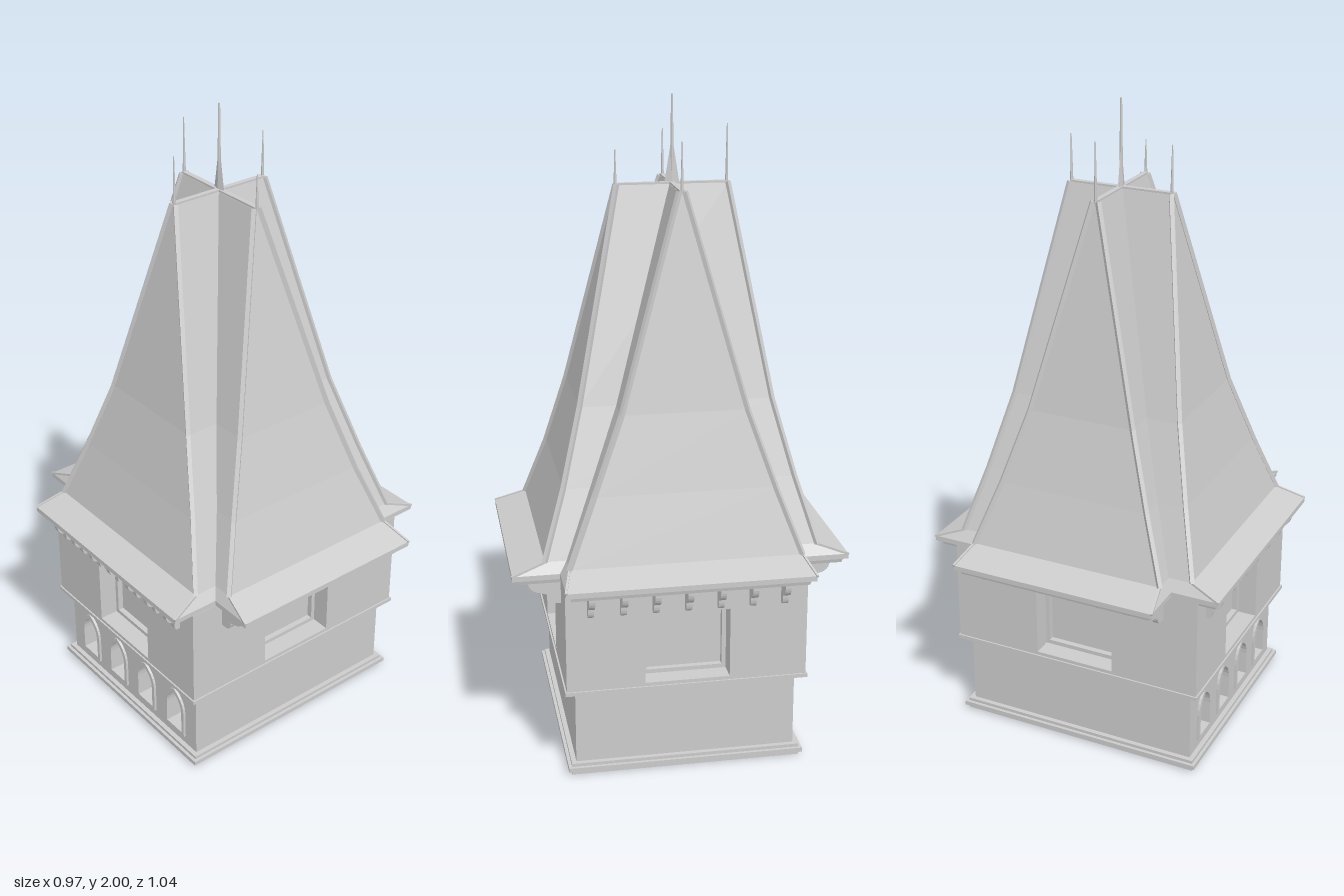
import * as THREE from 'three';

const mat = new THREE.MeshStandardMaterial({ color: 0xcccccc, flatShading: true });

function add(parent, geo, name, x = 0, y = 0, z = 0) {
  const m = new THREE.Mesh(geo, mat);
  m.name = name;
  m.position.set(x, y, z);
  parent.add(m);
  return m;
}

// rectangular path, as an outline or a hole
function rect(P, x0, y0, x1, y1) {
  const p = new P();
  p.moveTo(x0, y0); p.lineTo(x1, y0); p.lineTo(x1, y1); p.lineTo(x0, y1); p.closePath();
  return p;
}

// pointed arch path
function arch(P, cx, y0, w, h) {
  const p = new P(), r = w / 2, spring = y0 + h * 0.55;
  p.moveTo(cx - r, y0); p.lineTo(cx + r, y0); p.lineTo(cx + r, spring);
  p.quadraticCurveTo(cx + r, y0 + h * 0.85, cx, y0 + h);
  p.quadraticCurveTo(cx - r, y0 + h * 0.85, cx - r, spring);
  p.closePath();
  return p;
}

function plate(shape, depth, holes = []) {
  shape.holes.push(...holes);
  return new THREE.ExtrudeGeometry(shape, { depth, bevelEnabled: false, curveSegments: 5 });
}

// horizontal rectangular ring
function ring(hx, hz, ix, iz, h) {
  const g = plate(rect(THREE.Shape, -hx, -hz, hx, hz), h, [rect(THREE.Path, -ix, -iz, ix, iz)]);
  return g.rotateX(-Math.PI / 2);
}

const corners = ([y, x0, x1, z0, z1]) => [[x0, y, z1], [x1, y, z1], [x1, y, z0], [x0, y, z0]];

// solid through rectangular levels [y, x0, x1, z0, z1]
function loft(levels) {
  const pos = [], quad = (a, b, c, d) => pos.push(...a, ...b, ...c, ...a, ...c, ...d);
  const L = levels.map(corners);
  for (let k = 0; k < L.length - 1; k++)
    for (let i = 0; i < 4; i++) {
      const j = (i + 1) % 4;
      quad(L[k][i], L[k][j], L[k + 1][j], L[k + 1][i]);
    }
  quad(...L[L.length - 1]);
  quad(...[...L[0]].reverse());
  const g = new THREE.BufferGeometry();
  g.setAttribute('position', new THREE.Float32BufferAttribute(pos, 3));
  g.computeVertexNormals();
  return g;
}

// square bar between two points
function bar(parent, a, b, w, name) {
  const A = new THREE.Vector3(...a), B = new THREE.Vector3(...b);
  const m = add(parent, new THREE.BoxGeometry(w, w, A.distanceTo(B) + w * 0.3), name);
  m.position.copy(A).add(B).multiplyScalar(0.5);
  m.lookAt(B);
}

// bracket with stepped, rounded underside, projecting along +z
function bracketGeometry(out) {
  const s = new THREE.Shape();
  s.moveTo(0, 0.61); s.lineTo(0, 0.53); s.lineTo(out * 0.25, 0.53);
  s.quadraticCurveTo(out * 0.45, 0.535, out * 0.45, 0.56);
  s.lineTo(out * 0.6, 0.565);
  s.quadraticCurveTo(out * 0.95, 0.57, out, 0.595);
  s.lineTo(out, 0.61); s.closePath();
  const g = plate(s, 0.018);
  return g.translate(0, 0, -0.009).rotateY(-Math.PI / 2);
}

export function createModel() {
  const model = new THREE.Group();
  model.name = 'towerTop';

  // base moulding and string course
  add(model, ring(0.4, 0.355, 0.33, 0.285, 0.012), 'baseMouldingLower');
  add(model, ring(0.41, 0.365, 0.33, 0.285, 0.014), 'baseMouldingMiddle', 0, 0.012);
  add(model, ring(0.4, 0.355, 0.33, 0.285, 0.01), 'baseMouldingUpper', 0, 0.026);
  add(model, ring(0.418, 0.373, 0.34, 0.295, 0.012), 'stringCourse', 0, 0.274);

  // four faces: 0 front, 1 left, 2 back, 3 right
  for (let i = 0; i < 4; i++) {
    const side = i % 2 === 1;
    const face = new THREE.Group();
    face.name = ['frontFace', 'leftFace', 'backFace', 'rightFace'][i];
    face.rotation.y = i * Math.PI / 2;
    model.add(face);

    // lower wall, with an arcade on one face
    const lw = side ? 0.34 : 0.385, ld = side ? 0.385 : 0.34;
    const arches = i === 3 ? [-0.235, -0.078, 0.078, 0.235] : [];
    const lower = plate(rect(THREE.Shape, -lw, 0.03, lw, 0.28), 0.05,
      arches.map(x => arch(THREE.Path, x, 0.075, 0.08, 0.145)));
    add(face, lower, 'lowerWall', 0, 0, ld - 0.05);
    for (const x of arches) {
      const frame = plate(arch(THREE.Shape, x, 0.065, 0.1, 0.168), 0.066,
        [arch(THREE.Path, x, 0.077, 0.076, 0.14)]);
      add(face, frame, 'archFrame', 0, 0, ld - 0.058);
    }

    // upper wall with a deep window
    const uw = side ? 0.368 : 0.413, ud = side ? 0.413 : 0.368;
    const win = [-0.13, 0.297, 0.13, 0.52];
    add(face, plate(rect(THREE.Shape, -uw, 0.28, uw, 0.615), 0.02, [rect(THREE.Path, ...win)]),
      'upperWall', 0, 0, ud - 0.02);
    add(face, plate(rect(THREE.Shape, -0.14, 0.287, 0.14, 0.53), 0.075, [rect(THREE.Path, ...win)]),
      'windowReveal', 0, 0, ud - 0.08);
    add(face, plate(rect(THREE.Shape, ...win), 0.02, [rect(THREE.Path, -0.117, 0.31, 0.117, 0.507)]),
      'windowFrame', 0, 0, ud - 0.08);
    add(face, new THREE.BoxGeometry(0.27, 0.23, 0.008), 'windowPane', 0, 0.408, ud - 0.082);

    // row of brackets under the eave
    const geo = bracketGeometry(side ? 0.055 : 0.1);
    geo.rotateY(Math.PI); // overhang direction is set below
    geo.computeBoundingBox();
    if (geo.boundingBox.max.z < 0.02) geo.rotateY(Math.PI);
    for (let k = -3; k <= 3; k++) add(face, geo, 'bracket', k * 0.098, 0, ud - 0.003);
  }

  // two crossing steep roofs, each with a flared eave
  const wide = [
    [0.603, -0.465, 0.465, -0.36, 0.355], [0.615, -0.468, 0.468, -0.363, 0.358],
    [0.62, -0.482, 0.482, -0.377, 0.372], [0.636, -0.482, 0.482, -0.377, 0.372],
    [0.67, -0.388, 0.388, -0.355, 0.35], [0.87, -0.332, 0.332, -0.282, 0.267],
    [1.1, -0.276, 0.276, -0.205, 0.175], [1.735, -0.165, 0.165, -0.034, -0.016]];
  const deep = [
    [0.603, -0.315, 0.315, -0.5, 0.498], [0.615, -0.318, 0.318, -0.503, 0.5],
    [0.62, -0.331, 0.331, -0.517, 0.515], [0.636, -0.331, 0.331, -0.517, 0.515],
    [0.67, -0.313, 0.313, -0.42, 0.415], [0.87, -0.242, 0.242, -0.362, 0.348],
    [1.1, -0.17, 0.17, -0.304, 0.286], [1.735, -0.009, 0.009, -0.195, 0.145]];
  const trim = new THREE.Group();
  trim.name = 'roofTrim';
  model.add(trim);
  for (const [levels, name] of [[wide, 'sideRoof'], [deep, 'frontBackRoof']]) {
    add(model, loft(levels), name);
    // raised trim along the hips, running out to the eave corners
    const rows = levels.slice(3).map(corners);
    for (let c = 0; c < 4; c++)
      for (let k = 0; k < rows.length - 1; k++)
        bar(trim, rows[k][c], rows[k + 1][c], k ? 0.013 : 0.007, 'hipTrim');
  }
  bar(trim, [-0.163, 1.733, -0.025], [0.163, 1.733, -0.025], 0.016, 'ridgeTrim');
  bar(trim, [0, 1.733, -0.193], [0, 1.733, 0.143], 0.016, 'ridgeTrim');

  // finials at the ridge ends and the central spire
  for (const [x, z, top] of [[-0.163, -0.025, 1.88], [0.163, -0.025, 1.88], [0, 0.147, 1.84], [0, -0.193, 1.91]]) {
    const h = top - 1.73;
    add(model, new THREE.CylinderGeometry(0.0015, 0.005, h, 6), 'finial', x, 1.73 + h / 2, z);
  }
  add(model, new THREE.CylinderGeometry(0.003, 0.006, 0.27, 6), 'spire', 0, 1.865, -0.025);
  const foot = add(model, new THREE.ConeGeometry(0.024, 0.15, 4), 'spireFoot', 0, 1.805, -0.025);
  foot.scale.x = 0.3;
  return model;
}
